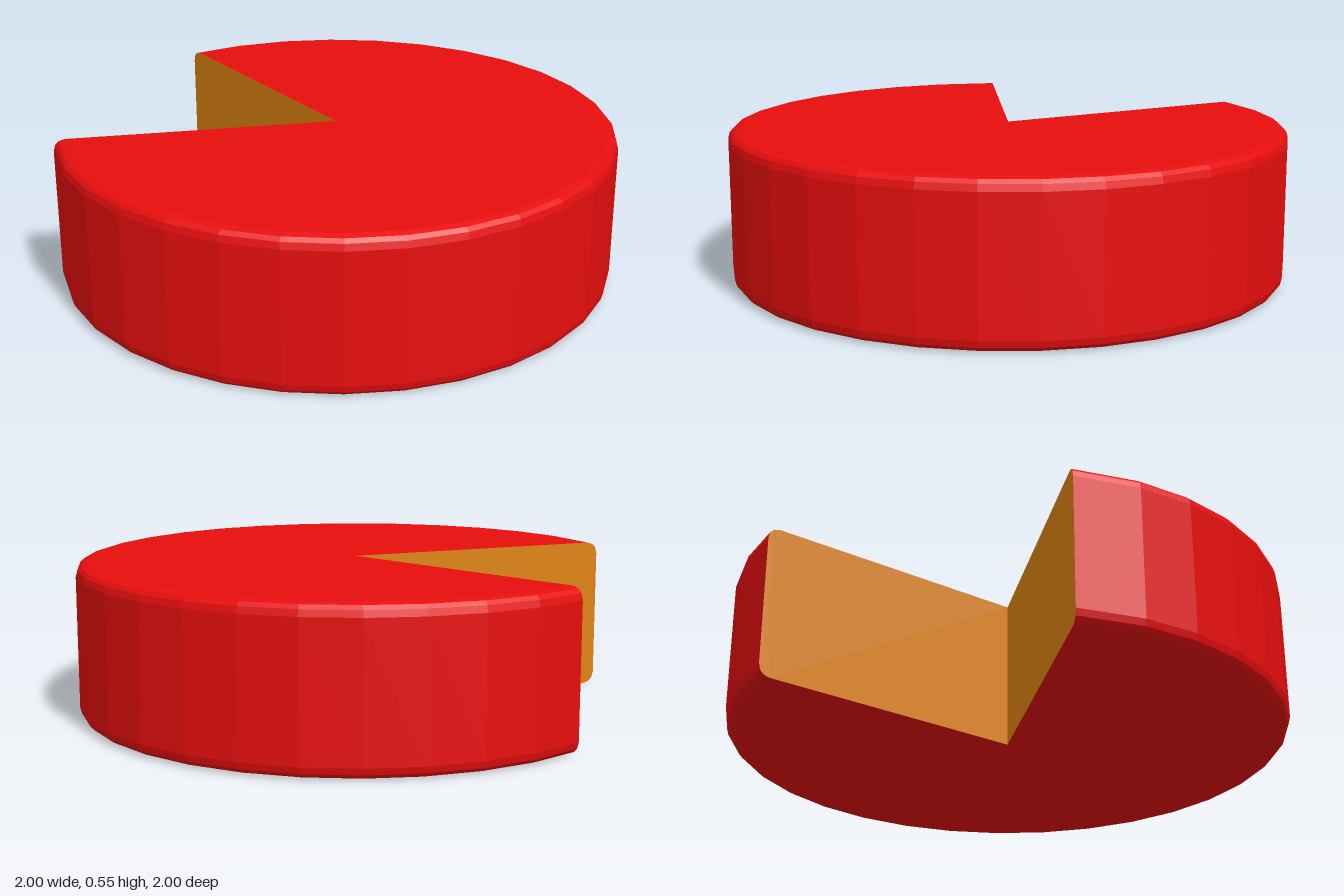
import * as THREE from 'three';

const HEIGHT = 0.553;
const STEP = Math.PI / 16; // 32 sides on the full wheel
const CUT_START = THREE.MathUtils.degToRad(-114.5);
const CUT_END = Math.PI;

// Half section of the wheel, from the bottom centre round to the top centre
function makeProfile() {
  const corner = [[0.96, 0], [0.982, 0.007], [0.994, 0.02], [1, 0.043]];
  const lower = corner.map(([r, y]) => new THREE.Vector2(r, y));
  const upper = corner.map(([r, y]) => new THREE.Vector2(r, HEIGHT - y)).reverse();
  return [new THREE.Vector2(0, 0), ...lower, ...upper, new THREE.Vector2(0, HEIGHT)];
}

// Red rind: a faceted lathe that leaves the wedge open
function makeRind(profile, material) {
  const geometry = new THREE.LatheGeometry(profile, 26, CUT_END - 26 * STEP, 26 * STEP);
  // Slide the first ring round to the exact angle of the cut
  const position = geometry.attributes.position;
  profile.forEach((p, i) => {
    position.setXYZ(i, p.x * Math.sin(CUT_START), p.y, p.x * Math.cos(CUT_START));
  });
  const flat = geometry.toNonIndexed();
  flat.computeVertexNormals();
  const mesh = new THREE.Mesh(flat, material);
  mesh.name = 'rind';
  return mesh;
}

// Flat face of the wedge; side is 1 or -1 so that it always looks into the gap
function makeCutFace(profile, angle, side, material, name) {
  const shape = new THREE.Shape(profile.map((p) => new THREE.Vector2(p.x * side, p.y)));
  const mesh = new THREE.Mesh(new THREE.ShapeGeometry(shape), material);
  mesh.rotation.y = angle - side * Math.PI / 2;
  mesh.name = name;
  return mesh;
}

export function createModel() {
  const red = new THREE.MeshStandardMaterial({ color: 0xe80e0e, flatShading: true });
  const orange = new THREE.MeshStandardMaterial({ color: 0xdf8410, flatShading: true });
  const profile = makeProfile();

  const wheel = new THREE.Group();
  wheel.name = 'cheeseWheel';
  wheel.add(
    makeRind(profile, red),
    makeCutFace(profile, CUT_START, 1, orange, 'rightCutFace'),
    makeCutFace(profile, CUT_END, -1, orange, 'backCutFace'),
  );
  return wheel;
}
